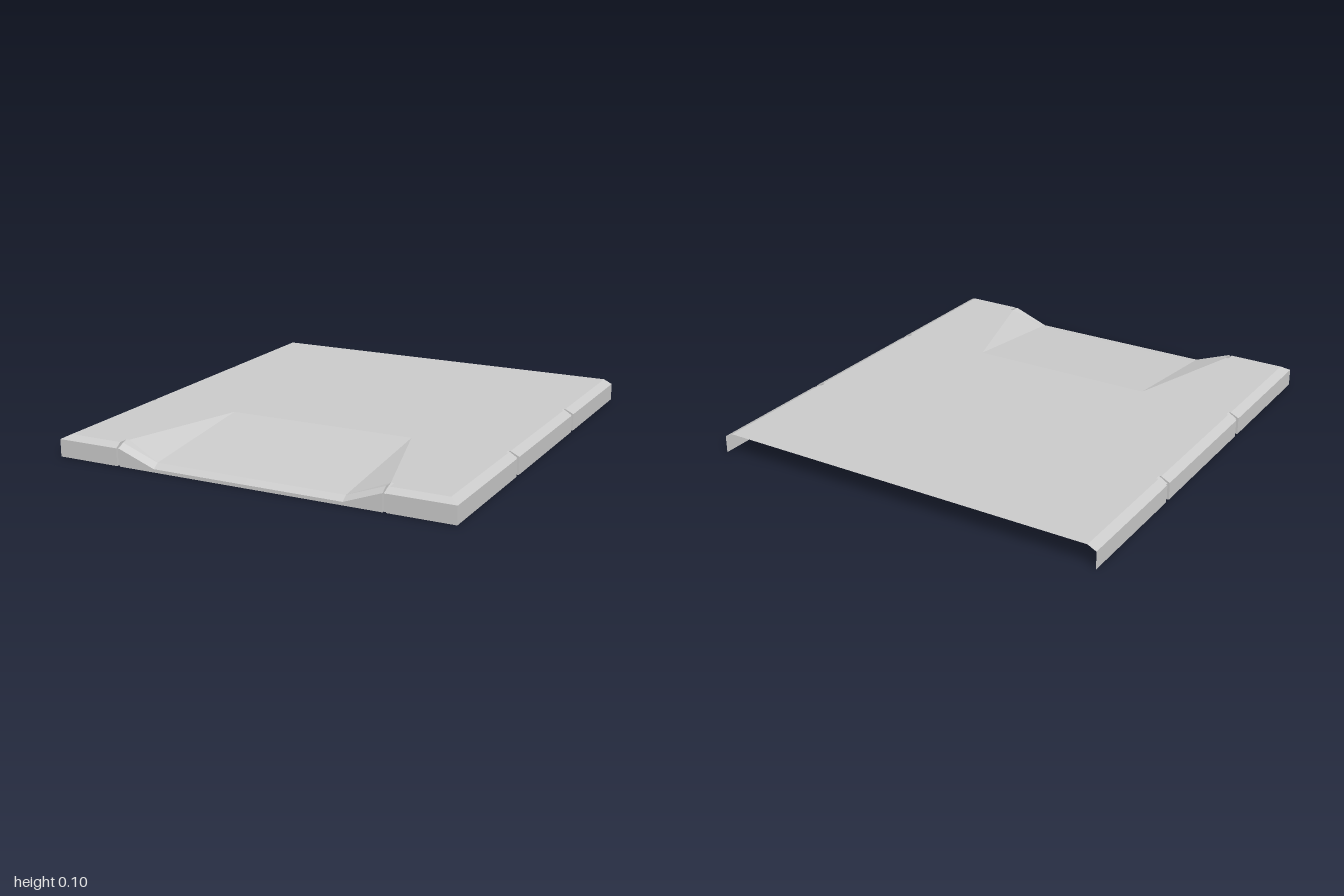
import * as THREE from 'three';

// Edge profiles, from the ground up to the deck: [outward distance, height]
const FRONT = [[1, 0], [1, 0.08], [0.97, 0.1], [0.925, 0.1]];
const FRONT_GROOVE = [[0.99, 0], [0.99, 0.075], [0.96, 0.088], [0.925, 0.1]];
const FRONT_DIP = [[1, 0], [1, 0.015], [0.97, 0.035], [0.925, 0.04]];
const SIDE = [[0.94, 0], [0.94, 0.08], [0.9, 0.1], [0.89, 0.1]];
const SIDE_GROOVE = [[0.93, 0], [0.93, 0.075], [0.91, 0.0875], [0.89, 0.1]];

const frontAt = (x, profile) => profile.map(([z, y]) => [x, y, z]);
const sideAt = (z, profile) => profile.map(([x, y]) => [x, y, z]);
const corner = SIDE.map(([x, y], i) => [x, y, FRONT[i][0]]);

const quad = (a, b, c, d) => [[a, b, c], [a, c, d]];

// Skin a row of sections with quads
function loft(sections) {
  const tris = [];
  for (let s = 0; s + 1 < sections.length; s++) {
    const p = sections[s], q = sections[s + 1];
    for (let i = 0; i + 1 < p.length; i++) tris.push(...quad(p[i], q[i], q[i + 1], p[i + 1]));
  }
  return tris;
}

const flat = (x0, x1, z0, z1, y = 0.1) =>
  quad([x0, y, z1], [x1, y, z1], [x1, y, z0], [x0, y, z0]);

// Make a flat-shaded mesh from the +x half and its mirror image
function mirrored(name, tris, material) {
  const all = [...tris];
  for (const [a, b, c] of tris) all.push([a, c, b].map(([x, y, z]) => [-x, y, z]));
  const geometry = new THREE.BufferGeometry();
  geometry.setAttribute('position', new THREE.Float32BufferAttribute(all.flat(2), 3));
  geometry.computeVertexNormals();
  const mesh = new THREE.Mesh(geometry, material);
  mesh.name = name;
  return mesh;
}

export function createModel() {
  const group = new THREE.Group();
  group.name = 'panel';
  const material = new THREE.MeshStandardMaterial({
    color: 0xcccccc, flatShading: true, side: THREE.DoubleSide,
  });

  // Front lip: low in the middle, rising to a groove, then on to the corner
  const front = loft([
    frontAt(0, FRONT_DIP), frontAt(0.45, FRONT_DIP),
    frontAt(0.625, FRONT), frontAt(0.625, FRONT_GROOVE),
    frontAt(0.64, FRONT_GROOVE), frontAt(0.64, FRONT), corner,
  ]);
  group.add(mirrored('frontLip', front, material));

  // Side skirt with two narrow grooves
  const stations = [corner];
  for (const z of [0.345, -0.375]) {
    const a = z + 0.013, b = z - 0.013;
    stations.push(sideAt(a, SIDE), sideAt(a, SIDE_GROOVE), sideAt(b, SIDE_GROOVE), sideAt(b, SIDE));
  }
  stations.push(sideAt(-1, SIDE));
  group.add(mirrored('sideSkirt', loft(stations), material));

  // Flat deck behind and beside the dip
  const deck = [...flat(0, 0.89, -1, 0.35), ...flat(0.625, 0.89, 0.35, 0.925)];
  group.add(mirrored('deck', deck, material));

  // Ramp sloping down to the front lip, with its folded side
  const A = [0.625, 0.1, 0.35], B = [0.45, 0.1, 0.35];
  const C = [0.45, 0.04, 0.925], D = [0.625, 0.1, 0.925];
  const ramp = [
    ...quad([0, 0.04, 0.925], C, B, [0, 0.1, 0.35]),
    [B, C, D], [B, D, A],
  ];
  group.add(mirrored('ramp', ramp, material));
  return group;
}
